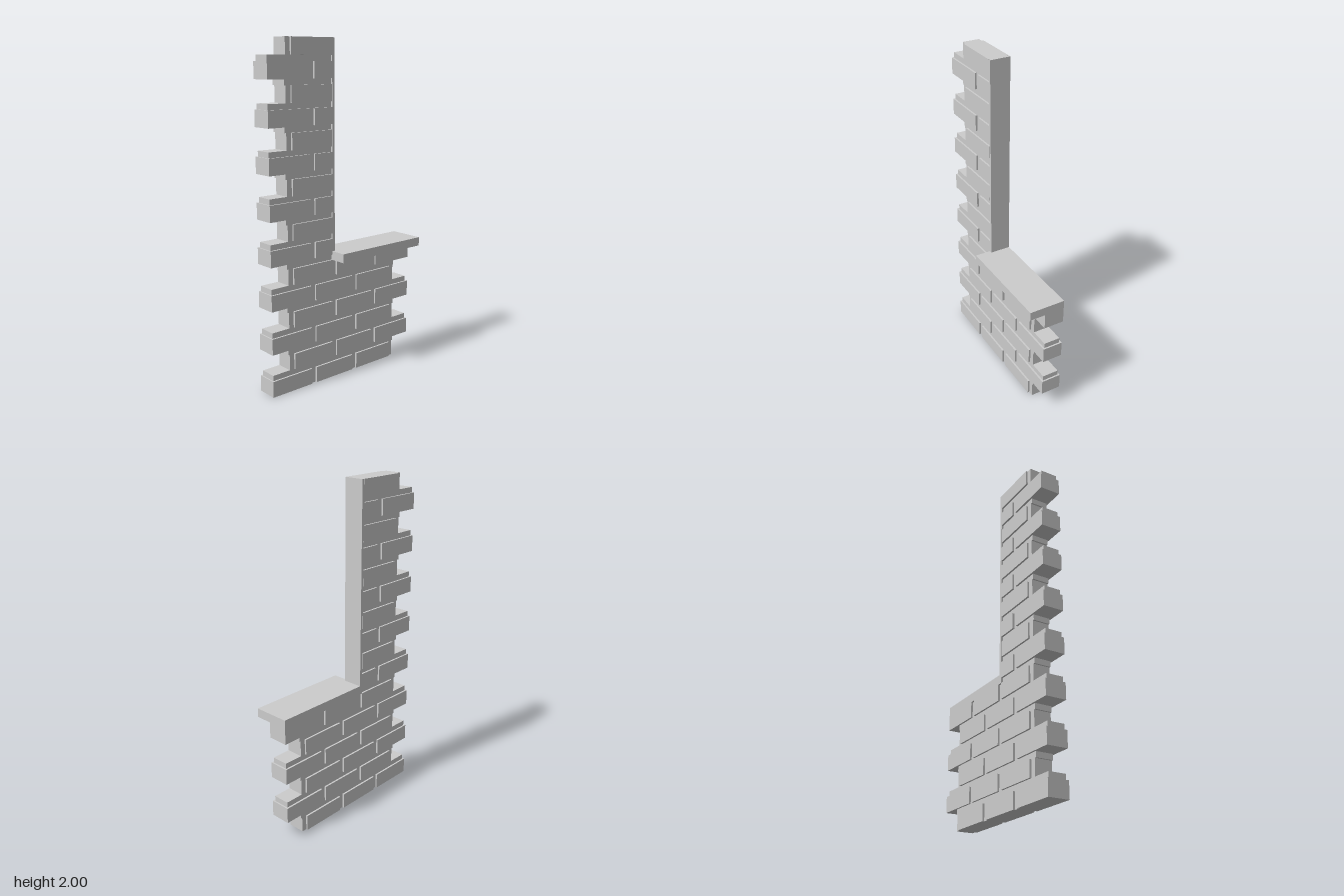
import * as THREE from 'three';

const PITCH = 0.127, BRICK_H = 0.095, ROWS = 16, SILL_ROW = 5;
const BACK = -0.11, FACE = 0.013, INSET = 0.011;
const EDGE = -0.095; // where the coursed part of the upper pillar stops

const material = new THREE.MeshStandardMaterial({ color: 0xcccccc, flatShading: true });

export function createModel() {
  const model = new THREE.Group();
  model.name = 'brickWall';

  // Box given by its two corners
  function block(parent, name, x0, x1, y0, y1, z0, z1) {
    const mesh = new THREE.Mesh(new THREE.BoxGeometry(x1 - x0, y1 - y0, z1 - z0), material);
    mesh.position.set((x0 + x1) / 2, (y0 + y1) / 2, (z0 + z1) / 2);
    mesh.name = name;
    parent.add(mesh);
  }

  const bricks = new THREE.Group();
  bricks.name = 'bricks';
  const mortar = new THREE.Group();
  mortar.name = 'mortar';
  model.add(bricks, mortar);

  // Two alternating courses, staggered by half a brick
  const evenCourse = [[-0.538, -0.255], [-0.222, 0.061], [0.094, 0.378]];
  const oddCourse = [[-0.38, -0.097], [-0.064, 0.219], [0.252, 0.535]];

  for (let row = 0; row < ROWS; row++) {
    const odd = row % 2 === 1;
    const low = row <= SILL_ROW;
    const y0 = row * PITCH, y1 = y0 + BRICK_H;

    for (const [x0, x1] of odd ? oddCourse : evenCourse) {
      if (!low && x0 > EDGE) continue;
      block(bricks, 'brick', x0, low ? x1 : Math.min(x1, EDGE), y0, y1, BACK, FACE);
    }

    // Recessed mortar behind the vertical joints
    const jointRight = low ? (odd ? 0.5 : 0.41) : EDGE;
    block(mortar, 'jointMortar', odd ? -0.412 : -0.5, jointRight, y0, y1, BACK + INSET, FACE - INSET);

    // Recessed mortar bed above the course
    if (row < ROWS - 1) {
      const bedRight = row < SILL_ROW ? (odd ? 0.525 : 0.418) : EDGE;
      block(mortar, 'bedMortar', odd ? -0.422 : -0.53, bedRight, y1, y0 + PITCH, BACK + INSET, FACE - INSET);
    }
  }

  // Smooth edge of the pillar beside the opening
  block(model, 'pillarEdge', EDGE, -0.079, 0.735, 2, BACK, FACE);

  // Window sill, overhanging the front of the low wall
  block(model, 'sill', -0.097, 0.535, SILL_ROW * PITCH + BRICK_H, 0.783, BACK, 0.11);

  return model;
}
